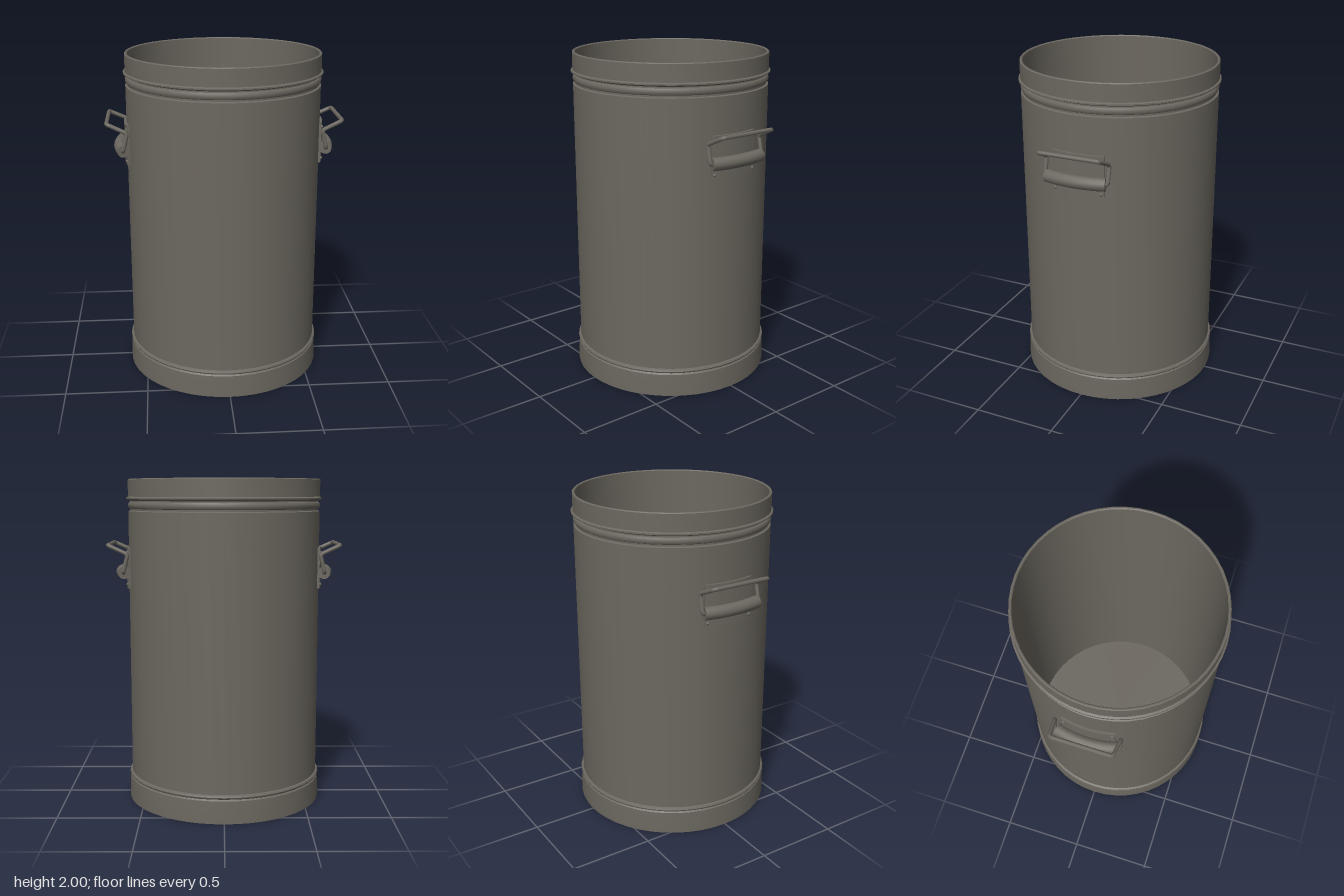
import * as THREE from 'three';
import { toCreasedNormals } from 'three/addons/utils/BufferGeometryUtils.js';

const steel = new THREE.MeshStandardMaterial({ color: 0x6c6860 });
steel.name = 'dull steel';

function part(name, geometry, parent) {
  const mesh = new THREE.Mesh(geometry, steel);
  mesh.name = name;
  parent.add(mesh);
  return mesh;
}

function lathe(profile) {
  const points = profile.map(([r, y]) => new THREE.Vector2(r, y));
  return toCreasedNormals(new THREE.LatheGeometry(points, 48), 0.5);
}

// Straight runs joined by small rounded bends
function bentPath(points, bend) {
  const path = new THREE.CurvePath();
  let from = points[0];
  for (let i = 1; i < points.length - 1; i++) {
    const p = points[i];
    const a = p.clone().add(points[i - 1].clone().sub(p).setLength(bend));
    const b = p.clone().add(points[i + 1].clone().sub(p).setLength(bend));
    path.add(new THREE.LineCurve3(from, a));
    path.add(new THREE.QuadraticBezierCurve3(a, p, b));
    from = b;
  }
  path.add(new THREE.LineCurve3(from, points[points.length - 1]));
  return path;
}

// Handle on the +x side
function makeHandle(name) {
  const handle = new THREE.Group();
  handle.name = name;

  // Mounting plate, curved to the drum
  const half = 0.27;
  const shape = new THREE.Shape();
  shape.absarc(0, 0, 0.604, -half, half, false);
  shape.absarc(0, 0, 0.58, half, -half, true);
  const plate = new THREE.ExtrudeGeometry(shape, { depth: 0.25, bevelEnabled: false, curveSegments: 8 });
  plate.rotateX(-Math.PI / 2).translate(0, 1.34, 0);
  part('mountingPlate', plate, handle);

  // Rolled sleeve that holds the wire
  const sweep = 0.29, rollY = 1.437, rollR = 0.632, tube = 0.038;
  const roll = new THREE.TorusGeometry(rollR, tube, 14, 12, sweep * 2);
  roll.rotateZ(-sweep).rotateX(-Math.PI / 2).translate(0, rollY, 0);
  part('rolledSleeve', roll, handle);
  for (const s of [-1, 1]) {
    const end = new THREE.CircleGeometry(tube, 14);
    if (s < 0) end.rotateY(Math.PI);
    end.translate(rollR, 0, 0);
    // Turn each end disc to the end of the arc
    end.applyMatrix4(new THREE.Matrix4().makeTranslation(-rollR, 0, 0));
    end.rotateY(-s * sweep);
    end.translate(rollR * Math.cos(sweep), rollY, s * rollR * Math.sin(sweep));
    part('sleeveEnd', end, handle);
  }

  // Bent wire grip
  const side = [[0.61, 1.437, 0.15], [0.61, 1.437, 0.194], [0.582, 1.55, 0.194], [0.703, 1.605, 0.184]];
  const points = [
    ...side.map(([x, y, z]) => new THREE.Vector3(x, y, z)),
    ...side.slice().reverse().map(([x, y, z]) => new THREE.Vector3(x, y, -z)),
  ];
  part('wireGrip', new THREE.TubeGeometry(bentPath(points, 0.02), 110, 0.0125, 8), handle);

  // Rivets
  for (const y of [1.365, 1.56]) {
    for (const z of [-0.143, 0.143]) {
      const rivet = part('rivet', new THREE.SphereGeometry(0.01, 10, 6), handle);
      rivet.position.set(Math.sqrt(0.604 ** 2 - z * z), y, z);
    }
  }
  return handle;
}

export function createModel() {
  const drum = new THREE.Group();
  drum.name = 'drum';

  // Outer wall, rolled rim, hollow inside and floor
  part('drumShell', lathe([
    [0.59, 0.14], [0.59, 1.807], [0.578, 1.812], [0.578, 1.822],
    [0.586, 1.826], [0.591, 1.836], [0.591, 1.85], [0.586, 1.86], [0.578, 1.864],
    [0.578, 1.87], [0.59, 1.876], [0.602, 1.88], [0.602, 1.888], [0.591, 1.894],
    [0.591, 1.995], [0.586, 2], [0.579, 2], [0.574, 1.995],
    [0.574, 0.03], [0, 0.03],
  ]), drum);

  // Base band with a bead above it
  part('baseBand', lathe([
    [0, 0], [0.606, 0], [0.606, 0.03], [0.601, 0.138], [0.593, 0.146],
    [0.601, 0.151], [0.605, 0.16], [0.601, 0.169], [0.589, 0.174],
  ]), drum);

  // Pair of handles
  drum.add(makeHandle('leftHandle'));
  const right = makeHandle('rightHandle');
  right.rotation.y = Math.PI;
  drum.add(right);

  return drum;
}
